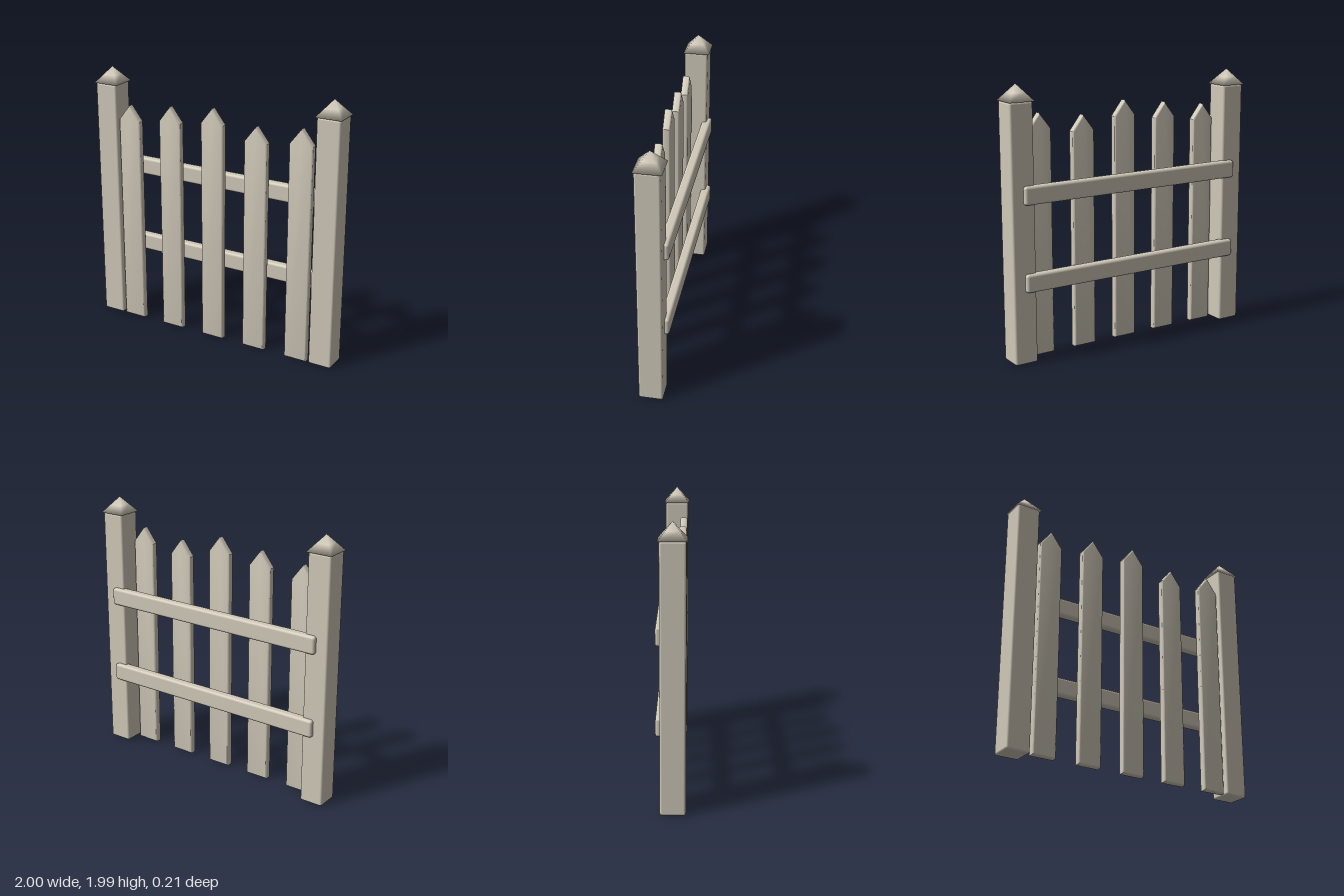
import * as THREE from 'three';
import { mergeVertices, toCreasedNormals } from 'three/addons/utils/BufferGeometryUtils.js';
import { RoundedBoxGeometry } from 'three/addons/geometries/RoundedBoxGeometry.js';

const wood = new THREE.MeshStandardMaterial({ color: 0xd0c9b9 });
wood.name = 'paleWood';

function part(name, geometry, x, y, z) {
  const mesh = new THREE.Mesh(geometry, wood);
  mesh.name = name;
  mesh.position.set(x, y, z);
  return mesh;
}

// Four-sided pyramid whose normals are smoothed over every edge
function capGeometry(width, height) {
  let g = new THREE.ConeGeometry(width / Math.SQRT2, height, 4, 2);
  g.rotateY(Math.PI / 4);
  g.deleteAttribute('normal');
  g.deleteAttribute('uv');
  g = mergeVertices(g, 1e-4);
  g.computeVertexNormals();
  return g;
}

// Bevelled board with a pointed top, standing on y = 0
function picketGeometry(height) {
  const half = 0.089, depth = 0.056, bevel = 0.012, shoulder = height - 0.115;
  const shape = new THREE.Shape([
    new THREE.Vector2(-half, 0),
    new THREE.Vector2(half, 0),
    new THREE.Vector2(half, shoulder),
    new THREE.Vector2(0, height),
    new THREE.Vector2(-half, shoulder),
  ]);
  const g = new THREE.ExtrudeGeometry(shape, {
    depth: depth - 2 * bevel,
    bevelEnabled: true,
    bevelThickness: bevel,
    bevelSize: bevel,
    bevelOffset: -bevel,
    bevelSegments: 3,
  });
  g.translate(0, 0, bevel - depth / 2);
  return toCreasedNormals(g, 0.6);
}

export function createModel() {
  const fence = new THREE.Group();
  fence.name = 'fence';

  // End posts with pyramid caps
  for (const [side, s] of [['left', 1], ['right', -1]]) {
    const post = new RoundedBoxGeometry(0.178, 1.868, 0.176, 3, 0.016);
    fence.add(part(side + 'Post', post, s * 0.905, 0.934, 0.012));
    fence.add(part(side + 'PostCap', capGeometry(0.194, 0.118), s * 0.903, 1.926, 0.01));
  }

  // Cross rails behind the pickets
  for (const [name, y] of [['lowerRail', 0.595], ['upperRail', 1.222]]) {
    fence.add(part(name, new RoundedBoxGeometry(1.81, 0.133, 0.07, 3, 0.02), 0, y, -0.072));
  }

  // Pickets of slightly uneven height, from the right end to the left
  const pickets = [[-0.708, 1.725], [-0.355, 1.765], [0, 1.805], [0.353, 1.725], [0.705, 1.765]];
  pickets.forEach(([x, height], i) => {
    fence.add(part('picket' + (i + 1), picketGeometry(height), x, 0, 0.067));
  });

  return fence;
}
